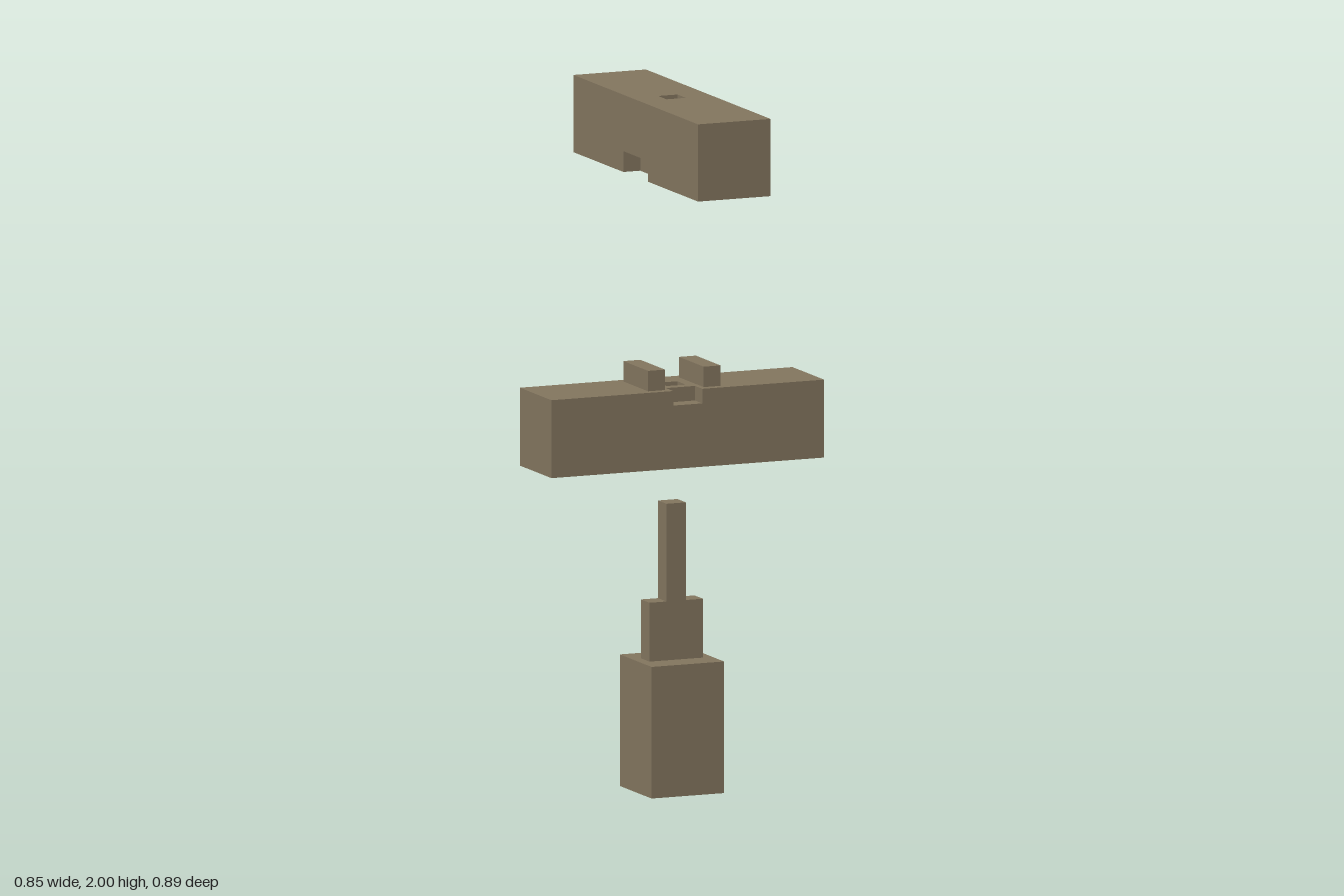
import * as THREE from 'three';

export function createModel() {
  const wood = new THREE.MeshStandardMaterial({ color: 0x83765f });
  wood.name = 'brown wood';
  const model = new THREE.Group();
  model.name = 'explodedJoint';

  const W = 0.1125; // half thickness of the timbers
  const PIN = 0.03; // half width of the square pin and its hole
  const PEG = 0.06; // inner side of the pegs
  const PEG_Z = 0.088; // half length of the pegs

  function group(name) {
    const g = new THREE.Group();
    g.name = name;
    model.add(g);
    return g;
  }

  // Box from half widths in x and z, between two heights
  function block(parent, name, hx, hz, y0, y1, x = 0) {
    const mesh = new THREE.Mesh(new THREE.BoxGeometry(hx * 2, y1 - y0, hz * 2), wood);
    mesh.position.set(x, (y0 + y1) / 2, 0);
    mesh.name = name;
    parent.add(mesh);
  }

  const rect = (hx, hz) => [[-hx, hz], [hx, hz], [hx, -hz], [-hx, -hz]];
  const toPoints = (list) => list.map(([x, z]) => new THREE.Vector2(x, -z));

  // Horizontal slab from an outline in x, z with one hole through it
  function slab(parent, name, outline, hole, y0, y1) {
    const shape = new THREE.Shape(toPoints(outline));
    shape.holes.push(new THREE.Path(toPoints(hole)));
    const geo = new THREE.ExtrudeGeometry(shape, { depth: y1 - y0, bevelEnabled: false });
    geo.rotateX(-Math.PI / 2);
    geo.translate(0, y0, 0);
    const mesh = new THREE.Mesh(geo, wood);
    mesh.name = name;
    parent.add(mesh);
  }

  // Post with a stepped tenon
  const post = group('post');
  block(post, 'postBody', W, W, 0, 0.38);
  block(post, 'wideTenon', 0.083, PIN, 0.38, 0.55);
  block(post, 'pinTenon', PIN, PIN, 0.55, 0.832);

  // Lower beam: mortise below, pin hole above, notch in the front top edge
  const L = 0.423;
  const lower = group('lowerBeam');
  slab(lower, 'mortiseLayer', rect(L, W), rect(0.083, PIN), 0.947, 1.117);
  slab(lower, 'pinHoleLayer', rect(L, W), rect(PIN, PIN), 1.117, 1.13);
  const notched = [
    [-L, W], [-0.045, W], [-0.045, PEG], [0.045, PEG], [0.045, W],
    [L, W], [L, -W], [-L, -W],
  ];
  slab(lower, 'notchedLayer', notched, rect(PIN, PIN), 1.13, 1.172);
  for (const side of [-1, 1]) {
    block(lower, side > 0 ? 'leftPeg' : 'rightPeg', (W - PEG) / 2, PEG_Z, 1.172, 1.231, side * (W + PEG) / 2);
  }

  // Upper beam: side housings underneath for the pegs, pin hole right through
  const U = 0.443;
  const upper = group('upperBeam');
  const housed = [
    [-W, U], [W, U], [W, PEG_Z], [PEG, PEG_Z], [PEG, -PEG_Z], [W, -PEG_Z],
    [W, -U], [-W, -U], [-W, -PEG_Z], [-PEG, -PEG_Z], [-PEG, PEG_Z], [-W, PEG_Z],
  ];
  slab(upper, 'housedLayer', housed, rect(PIN, PIN), 1.777, 1.837);
  slab(upper, 'topLayer', rect(W, U), rect(PIN, PIN), 1.837, 2);

  return model;
}
